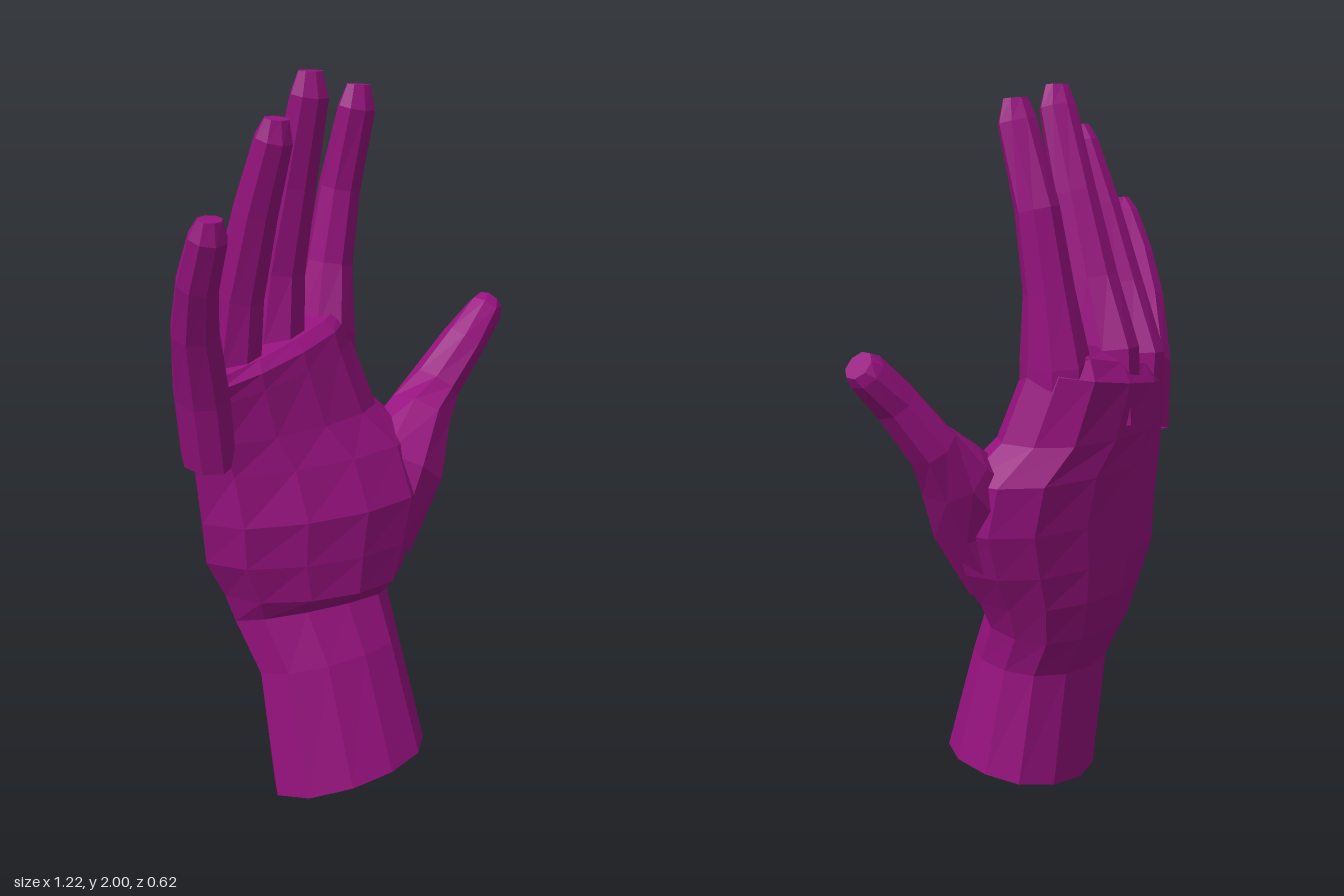
import * as THREE from 'three';

const material = new THREE.MeshStandardMaterial({
  color: 0x97127f, flatShading: true, side: THREE.DoubleSide,
});

// Skin a list of equal-length rings (counter-clockwise seen from the far end) and cap the far end.
function loft(name, rings) {
  const n = rings[0].length;
  const pts = rings.flat();
  const index = [];
  for (let i = 0; i < rings.length - 1; i++) {
    for (let j = 0; j < n; j++) {
      const a = i * n + j, b = i * n + (j + 1) % n;
      index.push(a, b, b + n, a, b + n, a + n);
    }
  }
  const start = (rings.length - 1) * n;
  const centre = new THREE.Vector3();
  for (let j = 0; j < n; j++) centre.addScaledVector(pts[start + j], 1 / n);
  const c = pts.push(centre) - 1;
  for (let j = 0; j < n; j++) index.push(c, start + j, start + (j + 1) % n);

  const geometry = new THREE.BufferGeometry().setFromPoints(pts);
  geometry.setIndex(index);
  geometry.computeVertexNormals();
  const mesh = new THREE.Mesh(geometry, material);
  mesh.name = name;
  return mesh;
}

// Digit from stations [x, y, z, half width, half depth], eight sides.
function digit(name, stations) {
  const centres = stations.map(([x, y, z]) => new THREE.Vector3(x, y, z));
  const last = centres.length - 1;
  const rings = stations.map(([, , , w, d], i) => {
    const along = centres[Math.min(i + 1, last)].clone().sub(centres[Math.max(i - 1, 0)]).normalize();
    const side = new THREE.Vector3(1, 0, 0);
    side.addScaledVector(along, -side.dot(along)).normalize();
    const back = along.clone().cross(side);
    return Array.from({ length: 8 }, (_, j) => {
      const a = j * Math.PI / 4;
      return centres[i].clone()
        .addScaledVector(side, w * Math.cos(a))
        .addScaledVector(back, d * Math.sin(a));
    });
  });
  return loft(name, rings);
}

// Palm section: a chord between two edges, bulged forward and backward; tilt lifts the front.
const across = [0, 0.1, 0.32, 0.57, 0.8, 0.94, 1];
const bulge = [0, 0.52, 0.87, 1, 0.88, 0.5, 0];
function palmRing([ly, ry, lx, lz, rx, rz, front, back, tilt]) {
  const at = (k, depth) => {
    const t = across[k];
    const offset = depth * bulge[k];
    return new THREE.Vector3(
      THREE.MathUtils.lerp(lx, rx, t),
      THREE.MathUtils.lerp(ly, ry, t) + tilt * offset,
      THREE.MathUtils.lerp(lz, rz, t) + offset);
  };
  const ring = across.map((_, k) => at(k, front));
  for (let k = across.length - 2; k > 0; k--) ring.push(at(k, -back));
  return ring;
}

export function createModel() {
  const hand = new THREE.Group();
  hand.name = 'hand';

  // Open wrist and palm: left y, right y, left x, left z, right x, right z, front, back, tilt
  hand.add(loft('palmAndWrist', [
    [0.00, 0.09, -0.29, 0.08, 0.19, 0.05, 0.19, 0.20, 0.12],
    [0.36, 0.40, -0.31, 0.03, 0.14, 0.00, 0.155, 0.155, 0.15],
    [0.51, 0.51, -0.36, -0.02, 0.14, -0.05, 0.15, 0.15, 0.25],
    [0.59, 0.59, -0.39, -0.02, 0.18, -0.06, 0.20, 0.18, 0],
    [0.70, 0.69, -0.45, -0.01, 0.24, -0.08, 0.21, 0.19, 0],
    [0.82, 0.82, -0.47, 0.01, 0.29, -0.10, 0.21, 0.205, 0],
    [0.96, 0.96, -0.49, 0.02, 0.28, -0.13, 0.17, 0.21, 0],
    [1.05, 1.06, -0.505, 0.04, 0.17, -0.15, 0.14, 0.205, 0],
    [1.15, 1.25, -0.515, 0.055, 0.11, -0.19, 0.13, 0.195, 0],
    [1.19, 1.31, -0.52, 0.07, 0.10, -0.20, 0.12, 0.15, 0],
    [1.22, 1.34, -0.50, 0.075, 0.08, -0.20, 0.08, 0.09, 0],
  ].map(palmRing)));

  // Fingers, each rising out of its knuckle
  hand.add(digit('littleFinger', [
    [-0.45, 1.00, 0.02, 0.07, 0.09],
    [-0.485, 1.19, 0.06, 0.073, 0.09],
    [-0.535, 1.37, 0.135, 0.064, 0.066],
    [-0.558, 1.50, 0.205, 0.056, 0.055],
    [-0.557, 1.615, 0.265, 0.052, 0.046],
    [-0.558, 1.66, 0.28, 0.034, 0.024],
  ]));
  hand.add(digit('ringFinger', [
    [-0.33, 1.05, -0.05, 0.085, 0.11],
    [-0.35, 1.24, -0.05, 0.083, 0.105],
    [-0.35, 1.43, 0.015, 0.071, 0.07],
    [-0.335, 1.65, 0.09, 0.062, 0.056],
    [-0.318, 1.83, 0.158, 0.052, 0.047],
    [-0.316, 1.88, 0.17, 0.035, 0.024],
  ]));
  hand.add(digit('middleFinger', [
    [-0.18, 1.08, -0.14, 0.09, 0.12],
    [-0.18, 1.28, -0.13, 0.09, 0.115],
    [-0.17, 1.47, -0.09, 0.075, 0.072],
    [-0.155, 1.70, -0.03, 0.063, 0.058],
    [-0.143, 1.93, 0.035, 0.056, 0.045],
    [-0.143, 1.99, 0.04, 0.036, 0.026],
  ]));
  hand.add(digit('indexFinger', [
    [0.01, 1.08, -0.18, 0.10, 0.11],
    [0.025, 1.27, -0.19, 0.09, 0.105],
    [0.05, 1.46, -0.195, 0.068, 0.072],
    [0.077, 1.67, -0.18, 0.06, 0.06],
    [0.097, 1.89, -0.12, 0.057, 0.045],
    [0.1, 1.95, -0.115, 0.037, 0.026],
  ]));

  // Thumb and the pad at its root
  hand.add(digit('thumb', [
    [0.10, 0.66, -0.04, 0.11, 0.13],
    [0.19, 0.87, -0.055, 0.145, 0.145],
    [0.30, 0.995, -0.105, 0.098, 0.115],
    [0.377, 1.08, -0.125, 0.07, 0.09],
    [0.47, 1.20, -0.112, 0.062, 0.074],
    [0.555, 1.285, -0.122, 0.054, 0.055],
    [0.58, 1.305, -0.13, 0.042, 0.036],
  ]));
  return hand;
}
